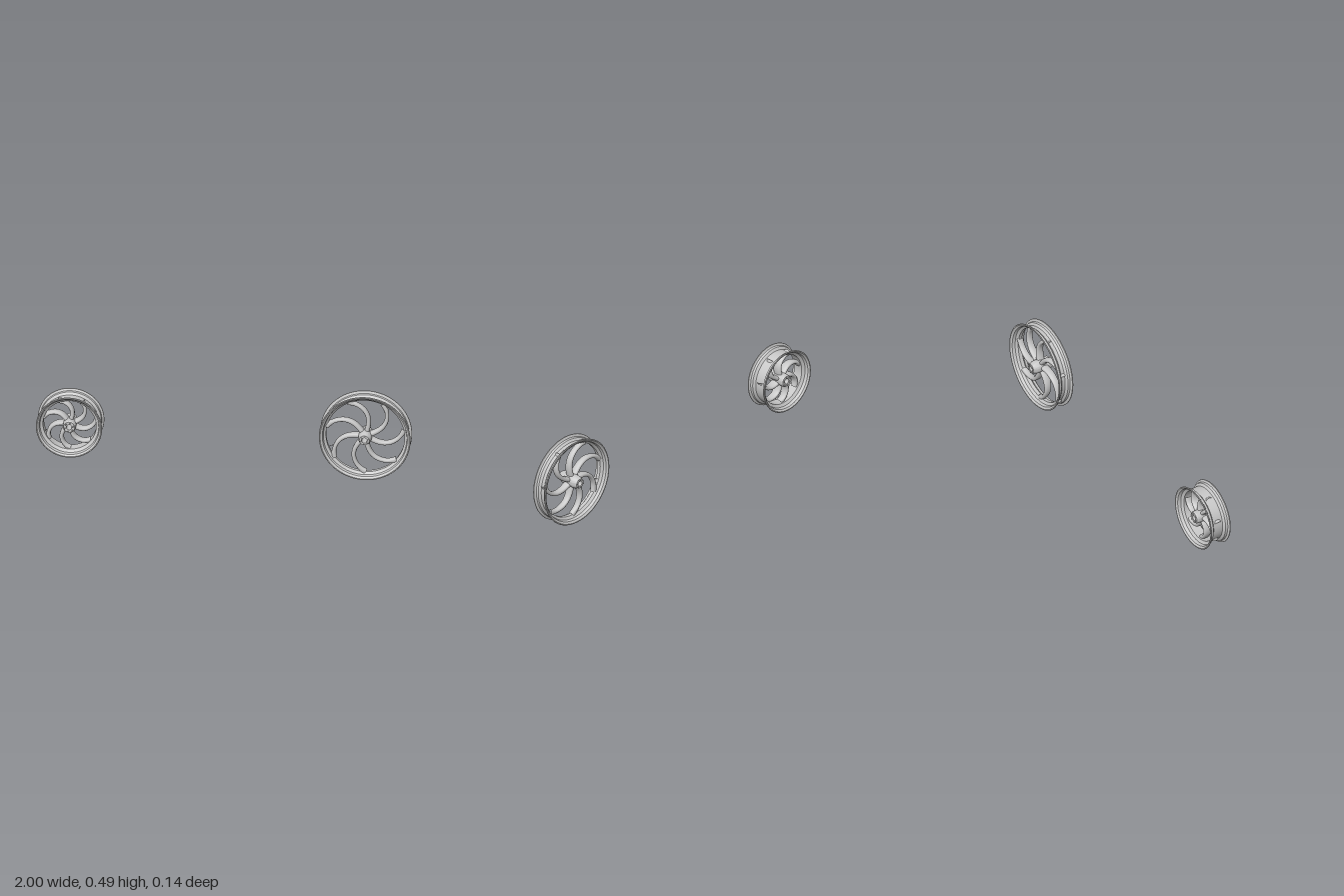
import * as THREE from 'three';
import { toCreasedNormals } from 'three/addons/utils/BufferGeometryUtils.js';

const metal = new THREE.MeshStandardMaterial({ color: 0xc8c8c8 });
metal.name = 'cast metal';

function add(parent, name, geometry) {
  const mesh = new THREE.Mesh(geometry, metal);
  mesh.name = name;
  parent.add(mesh);
  return mesh;
}

// closed profile of [radius, z] pairs turned about the z axis
function turned(profile, segments = 72) {
  const pts = [...profile, profile[0]].map(([r, z]) => new THREE.Vector2(r, z));
  const g = new THREE.LatheGeometry(pts, segments).rotateX(Math.PI / 2);
  return toCreasedNormals(g, 0.5);
}

// mirror a half profile, running from the centre plane to the edge and back inside
function rimProfile(R, half, shoulder, well, flat, slope) {
  const inner = [[R - 0.007, half], [shoulder - 0.004, half - 0.008],
    [shoulder - 0.008, slope], [well - 0.008, flat]];
  const outer = [[well, flat], [shoulder - 0.002, slope], [shoulder, half - 0.012],
    [R - 0.005, half - 0.007], [R - 0.001, half - 0.006], [R, half - 0.003], [R - 0.002, half]];
  const flip = a => a.map(([r, z]) => [r, -z]).reverse();
  return [...flip(outer), ...outer, ...inner, ...flip(inner)];
}

// curved, tapering spoke with an oval section
function spokeGeometry(r0, r1, sweep, width, depth) {
  const rows = 20, sides = 14, pos = [], index = [];
  const point = t => {
    const r = r0 + (r1 - r0) * t, a = sweep * t * t;
    return new THREE.Vector2(r * Math.cos(a), r * Math.sin(a));
  };
  for (let i = 0; i <= rows; i++) {
    const t = i / rows, p = point(t);
    const d = point(t + 0.01).sub(point(t - 0.01)).normalize();
    const w = width(t) / 2, h = depth(t) / 2;
    for (let j = 0; j < sides; j++) {
      const f = j / sides * Math.PI * 2, c = Math.cos(f), s = Math.sin(f);
      const u = w * Math.sign(c) * Math.abs(c) ** 0.8;
      pos.push(p.x - d.y * u, p.y + d.x * u, h * Math.sign(s) * Math.abs(s) ** 0.8);
      if (i < rows) {
        const k = (j + 1) % sides, a = i * sides + j, b = i * sides + k;
        index.push(a, b, a + sides, b, b + sides, a + sides);
      }
    }
  }
  const g = new THREE.BufferGeometry();
  g.setAttribute('position', new THREE.Float32BufferAttribute(pos, 3));
  g.setIndex(index);
  g.computeVertexNormals();
  return g;
}

function makeWheel(name, o) {
  const wheel = new THREE.Group();
  wheel.name = name;
  add(wheel, 'rim', turned(rimProfile(...o.rim)));
  add(wheel, 'hub', turned(o.hub, 40));

  // seven swirling spokes
  const spoke = spokeGeometry(...o.spoke);
  for (let i = 0; i < 7; i++) {
    add(wheel, 'spoke', spoke).rotation.z = o.phase + i * Math.PI * 2 / 7;
  }

  // bolts on the hub faces
  const bolt = new THREE.CylinderGeometry(0.003, 0.003, 0.012, 10).rotateX(Math.PI / 2);
  for (const z of o.boltZ) {
    for (let i = 0; i < 6; i++) {
      const a = i * Math.PI / 3 + 0.3;
      add(wheel, 'hubBolt', bolt).position.set(o.boltR * Math.cos(a), o.boltR * Math.sin(a), z);
    }
  }

  // valve stem pointing in from the rim
  const stem = new THREE.CylinderGeometry(0.002, 0.002, 0.035, 8).rotateZ(Math.PI / 2);
  const valve = add(wheel, 'valveStem', stem);
  const va = 3.5;
  valve.position.set(o.valveR * Math.cos(va), o.valveR * Math.sin(va), 0);
  valve.rotation.z = va;
  return wheel;
}

export function createModel() {
  const model = new THREE.Group();
  model.name = 'wheelPair';

  const large = makeWheel('largeWheel', {
    rim: [0.245, 0.045, 0.231, 0.218, 0.01, 0.021],
    hub: [[0.015, -0.066], [0.027, -0.066], [0.028, -0.06], [0.035, -0.044], [0.036, -0.02],
      [0.036, 0.02], [0.035, 0.044], [0.028, 0.06], [0.027, 0.066], [0.015, 0.066]],
    spoke: [0.028, 0.214, 0.72, t => 0.027 - 0.007 * t + 0.012 * Math.max(0, t - 0.85) / 0.15,
      t => 0.046 - 0.014 * t],
    phase: 1.3, boltR: 0.022, boltZ: [-0.066, 0.066], valveR: 0.198,
  });
  large.position.set(0.755, 0.248, 0);

  const small = makeWheel('smallWheel', {
    rim: [0.177, 0.063, 0.165, 0.15, 0.028, 0.038],
    hub: [[0.015, -0.056], [0.03, -0.056], [0.034, -0.05], [0.035, -0.03],
      [0.035, 0.03], [0.034, 0.05], [0.03, 0.056], [0.015, 0.056]],
    spoke: [0.027, 0.146, 0.72, t => 0.025 - 0.005 * t + 0.01 * Math.max(0, t - 0.85) / 0.15,
      t => 0.056 - 0.016 * t],
    phase: 1.3, boltR: 0.024, boltZ: [-0.056, 0.061], valveR: 0.13,
  });
  small.position.set(-0.823, 0.245, -0.001);

  model.add(large, small);
  return model;
}
